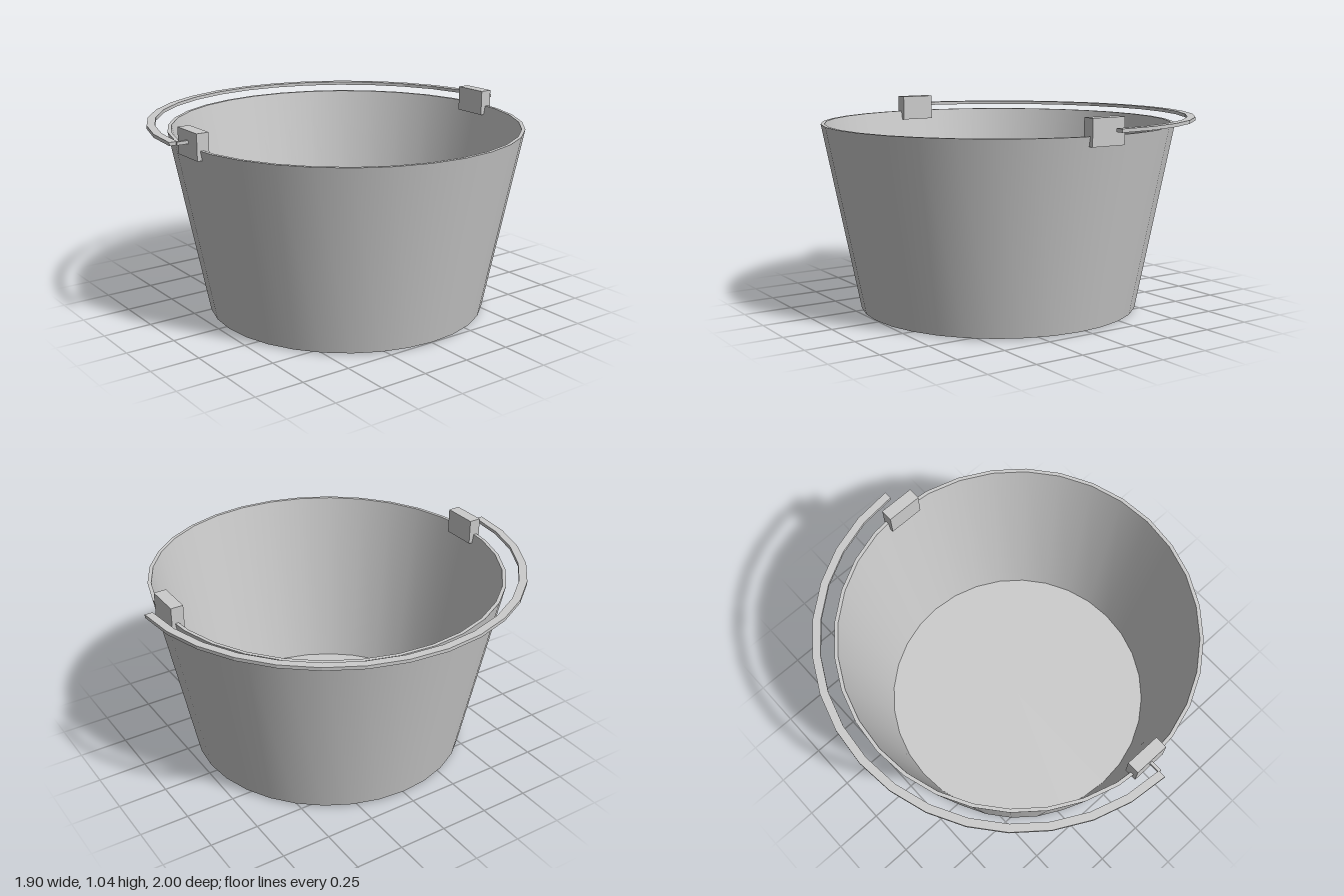
import * as THREE from 'three';

const CX = 0.045; // bucket axis, offset because the handle lies to one side
const material = new THREE.MeshStandardMaterial({ color: 0xcccccc });

function addMesh(parent, name, geometry, x, y, z) {
  const mesh = new THREE.Mesh(geometry, material);
  mesh.name = name;
  mesh.position.set(x, y, z);
  parent.add(mesh);
  return mesh;
}

export function createModel() {
  const model = new THREE.Group();
  model.name = 'bucket';

  // Tapered shell: one lathe per surface keeps the rim and base edges sharp
  const shell = new THREE.Group();
  shell.name = 'shell';
  shell.position.x = CX;
  model.add(shell);
  const profile = [[0, 0], [0.715, 0.007], [0.9, 0.957], [0.882, 0.957], [0.7, 0.018], [0, 0.018]];
  const names = ['base', 'outerWall', 'rim', 'innerWall', 'floor'];
  names.forEach((name, i) => {
    const points = [profile[i], profile[i + 1]].map(([r, y]) => new THREE.Vector2(r, y));
    addMesh(shell, name, new THREE.LatheGeometry(points, 32), 0, 0, 0);
  });

  // Square lugs clamped over the rim, front and back
  for (const [name, side] of [['frontLug', 1], ['backLug', -1]]) {
    addMesh(model, name, new THREE.BoxGeometry(0.183, 0.13, 0.063), CX, 0.975, side * 0.876);
  }

  // Half-ring handle, folded flat
  const arc = new THREE.Shape();
  arc.absarc(0, 0, 1, Math.PI / 2, Math.PI * 1.5, false);
  arc.absarc(0, 0, 0.96, Math.PI * 1.5, Math.PI / 2, true);
  arc.closePath();
  const handle = new THREE.ExtrudeGeometry(arc, { depth: 0.017, bevelEnabled: false, curveSegments: 8 });
  handle.rotateX(Math.PI / 2);
  addMesh(model, 'handle', handle, CX, 0.995, 0);

  // Pin joining the handle to the front lug
  addMesh(model, 'handlePin', new THREE.BoxGeometry(0.016, 0.016, 0.07), CX + 0.002, 0.986, 0.93);

  return model;
}
